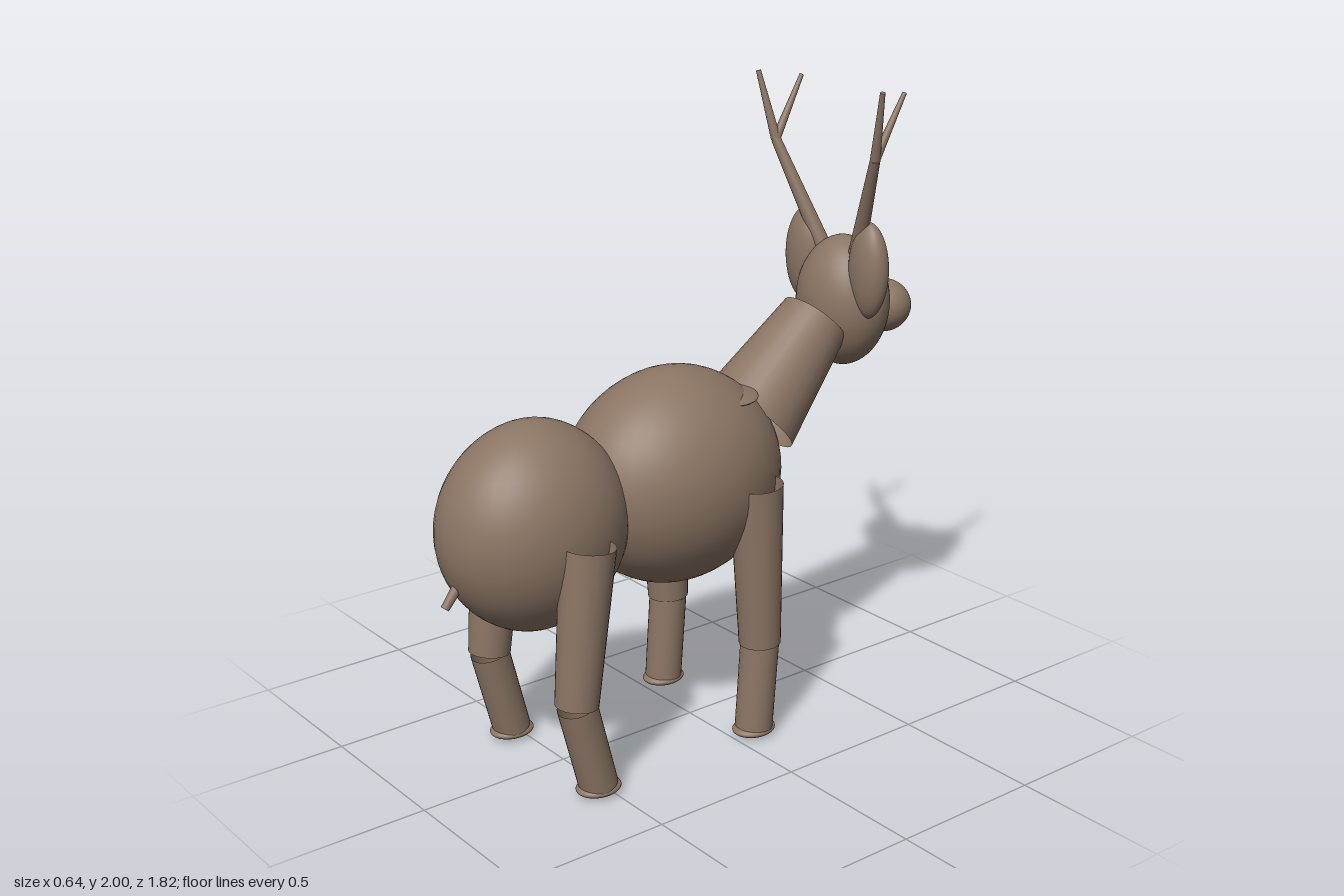
import * as THREE from 'three';

const V = (x, y, z) => new THREE.Vector3(x, y, z);

export function createModel() {
  const model = new THREE.Group();
  model.name = 'deer';
  const hide = new THREE.MeshStandardMaterial({ color: 0x8b7564, side: THREE.DoubleSide });
  hide.name = 'brownHide';

  const add = (name, geometry, parent = model) => {
    const mesh = new THREE.Mesh(geometry, hide);
    mesh.name = name;
    parent.add(mesh);
    return mesh;
  };

  // Egg-like ellipsoid, slightly pointed at its upper and lower poles
  const profile = [];
  for (let i = 0; i <= 28; i++) {
    const a = (i / 28 - 0.5) * Math.PI;
    profile.push(new THREE.Vector2(Math.max(0, Math.cos(a)) ** 1.08, Math.sin(a)));
  }
  const egg = (name, center, rx, ry, rz, parent) => {
    const geometry = new THREE.LatheGeometry(profile, 40).scale(rx, ry, rz);
    const mesh = add(name, geometry, parent);
    mesh.position.copy(center);
    return mesh;
  };

  // Tapered tube from a to b
  const limb = (name, a, b, ra, rb, parent, open = true) => {
    const dir = b.clone().sub(a);
    const mesh = add(name, new THREE.CylinderGeometry(rb, ra, dir.length(), 28, 1, open), parent);
    mesh.position.copy(a).add(b).multiplyScalar(0.5);
    mesh.quaternion.setFromUnitVectors(V(0, 1, 0), dir.normalize());
    return mesh;
  };

  // Body, neck and head
  egg('chest', V(0, 0.847, 0.07), 0.29, 0.345, 0.37);
  egg('rump', V(0, 0.805, 0.59), 0.25, 0.325, 0.305);
  limb('tail', V(0, 0.69, 0.845), V(0, 0.62, 0.9), 0.017, 0.013, model, false);
  egg('shoulderRidge', V(0, 1.087, -0.08), 0.18, 0.022, 0.125);
  limb('neck', V(0, 0.966, -0.237), V(0, 1.24, -0.512), 0.165, 0.115);
  egg('head', V(0, 1.285, -0.63), 0.165, 0.215, 0.14);
  egg('muzzle', V(0, 1.235, -0.817), 0.088, 0.088, 0.09);

  for (const [side, s] of [['left', 1], ['right', -1]]) {
    egg(side + 'Ear', V(s * 0.15, 1.415, -0.598), 0.075, 0.155, 0.052);

    // Antler: one beam that forks into two tines
    const antler = new THREE.Group();
    antler.name = side + 'Antler';
    model.add(antler);
    const fork = V(s * 0.23, 1.785, -0.535);
    limb('beam', V(s * 0.075, 1.44, -0.613), fork, 0.028, 0.016, antler, false);
    limb('rearTine', fork, V(s * 0.285, 2, -0.505), 0.016, 0.008, antler, false);
    limb('frontTine', fork, V(s * 0.235, 1.98, -0.645), 0.015, 0.007, antler, false);

    // Legs: z of the top, knee and hoof, then the height of the top
    const legs = [
      ['Front', -0.072, -0.094, -0.073, 0.848],
      ['Rear', 0.558, 0.608, 0.535, 0.805],
    ];
    for (const [end, topZ, kneeZ, hoofZ, topY] of legs) {
      const leg = new THREE.Group();
      leg.name = side + end + 'Leg';
      model.add(leg);
      const x = s * 0.235;
      limb('upperLeg', V(x, topY, topZ), V(x, 0.315, kneeZ), 0.084, 0.066, leg);
      limb('lowerLeg', V(x, 0.312, kneeZ), V(x, 0.03, hoofZ), 0.061, 0.06, leg);
      egg('hoof', V(x, 0.022, hoofZ), 0.06, 0.022, 0.073, leg);
    }
  }
  return model;
}
